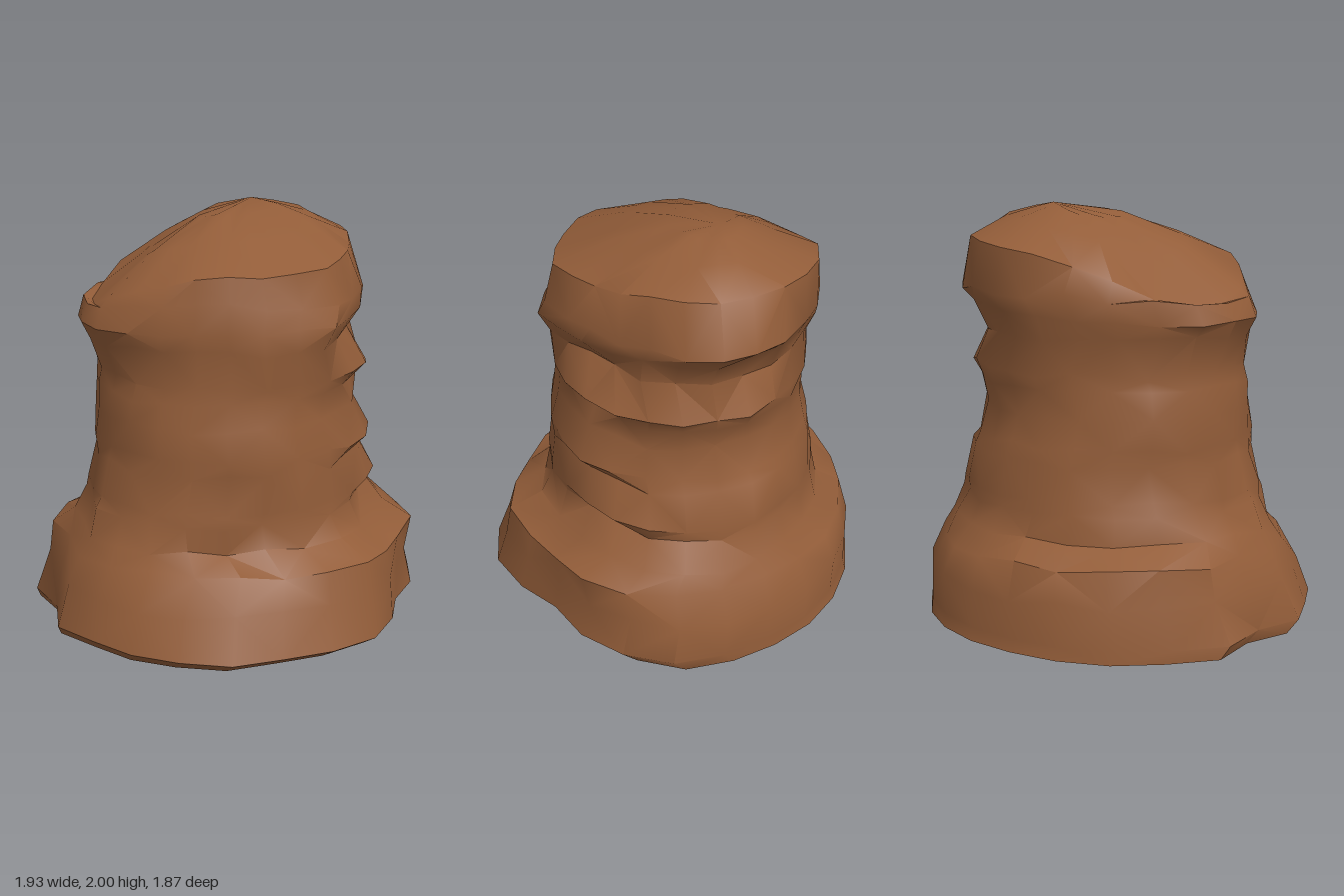
import * as THREE from 'three';
import { toCreasedNormals } from 'three/addons/utils/BufferGeometryUtils.js';

// Uneven outlines of foot and head, relative to an ellipse:
// one value every 15 degrees, from the front towards +x
const FOOT = [1.0, 0.94, 0.88, 0.96, 1.01, 1.04, 1.01, 0.99, 0.99, 0.99, 0.99, 0.99,
  1.01, 1.03, 1.03, 1.06, 0.95, 1.02, 0.97, 0.98, 0.98, 1.0, 0.96, 0.98];
const HEAD = [0.99, 0.92, 0.9, 0.89, 0.92, 0.96, 1.0, 0.99, 1.0, 1.0, 1.03, 1.05,
  1.03, 1.05, 1.07, 1.08, 1.07, 1.04, 0.96, 0.92, 0.9, 0.9, 0.92, 0.95];
const SIDES = FOOT.length;

// Cross-sections: y, xMin, xMax, zMin, zMax, ledge push, tilt along x
const RINGS = [
  [0.00, -0.92, 0.96, -0.93, 0.84, 0, 0],
  [0.06, -0.97, 0.97, -0.92, 0.93, 0, 0],
  [0.25, -0.89, 0.95, -0.90, 0.87, 0, 0],
  [0.40, -0.82, 0.89, -0.86, 0.85, 0, 0],
  [0.48, -0.78, 0.85, -0.72, 0.68, 0, 0],
  [0.60, -0.73, 0.77, -0.70, 0.63, -0.05, 0],
  [0.66, -0.71, 0.78, -0.69, 0.62, 0.05, 0],
  [0.83, -0.65, 0.72, -0.67, 0.60, -0.05, 0],
  [0.90, -0.65, 0.69, -0.66, 0.60, 0.05, 0],
  [1.05, -0.64, 0.65, -0.64, 0.57, 0, 0],
  [1.17, -0.63, 0.69, -0.62, 0.57, -0.05, 0],
  [1.24, -0.62, 0.72, -0.62, 0.58, 0.04, 0],
  [1.41, -0.66, 0.66, -0.63, 0.62, -0.07, 0],
  [1.51, -0.70, 0.72, -0.65, 0.63, 0.06, 0.03],
  [1.61, -0.67, 0.79, -0.65, 0.61, 0.02, 0],
  [1.76, -0.64, 0.70, -0.62, 0.57, 0, 0.13],
  [1.87, -0.36, 0.55, -0.43, 0.30, 0, 0.12],
  [1.95, -0.05, 0.40, -0.27, 0.06, 0, 0.07],
];

// Small seeded generator, giving -1 to 1
function seeded(seed) {
  return () => {
    seed = (seed * 16807) % 2147483647;
    return (seed / 2147483647) * 2 - 1;
  };
}

// Bell-shaped weight around a centre; angles are in degrees
const bell = (d, width) => Math.exp(-((d / width) ** 2));
const near = (deg, centre, width) => bell(((deg - centre + 540) % 360) - 180, width);

// Local swellings and hollows: amount, angle, angle width, height, height width
const BUMPS = [
  [0.05, 325, 12, 0.87, 0.08],  // outcrop beside the ledges
  [-0.11, 315, 28, 0.47, 0.13], // hollow above the foot
  [0.05, 225, 30, 0.38, 0.1],   // full shoulders of the foot
  [0.05, 45, 25, 0.38, 0.08],
  [0.05, 225, 35, 1.1, 0.35],   // stout back of the trunk
  [0.07, 135, 32, 1.78, 0.08],  // square corner of the head
];

function rockGeometry() {
  const rnd = seeded(4217);
  const pos = [];
  const index = [];

  RINGS.forEach(([y, x0, x1, z0, z1, ledge, tilt], i) => {
    const footness = Math.max(0, 1 - y / 0.9);
    const headness = THREE.MathUtils.smoothstep(y, 1.1, 1.55);
    const rough = i < 2 ? 0 : i > 14 ? 0.01 : 0.018;
    for (let j = 0; j < SIDES; j++) {
      const deg = (j * 360) / SIDES;
      const a = THREE.MathUtils.degToRad(deg);
      let r = 1 + (FOOT[j] - 1) * footness + (HEAD[j] - 1) * headness + rnd() * rough;
      // stepped ledges winding up the front
      r += ledge * near(deg, 55 - 22 * y, 25);
      for (const [push, at, wide, h, tall] of BUMPS) r += push * near(deg, at, wide) * bell(y - h, tall);
      const x = (x0 + x1) / 2 + Math.sin(a) * r * (x1 - x0) / 2;
      const z = (z0 + z1) / 2 + Math.cos(a) * r * (z1 - z0) / 2;
      // the head droops at one back corner and rises at the front one
      const lift = (0.06 * near(deg, 310, 25) - 0.15 * near(deg, 225, 30)) * bell(y - 1.76, 0.12);
      pos.push(x, y + tilt * x + lift + rnd() * rough, z);
    }
  });

  // Sides
  for (let i = 0; i < RINGS.length - 1; i++) {
    for (let j = 0; j < SIDES; j++) {
      const k = (j + 1) % SIDES;
      const a = i * SIDES + j, b = i * SIDES + k;
      const c = b + SIDES, d = a + SIDES;
      if ((i + j) % 2) index.push(a, b, c, a, c, d);
      else index.push(a, b, d, b, c, d);
    }
  }

  // Summit and flat underside
  const top = pos.length / 3;
  pos.push(0.29, 2, -0.15, 0, 0, 0);
  const last = (RINGS.length - 1) * SIDES;
  for (let j = 0; j < SIDES; j++) {
    const k = (j + 1) % SIDES;
    index.push(last + j, last + k, top);
    index.push(k, j, top + 1);
  }

  const geo = new THREE.BufferGeometry();
  geo.setAttribute('position', new THREE.Float32BufferAttribute(pos, 3));
  geo.setIndex(index);
  return toCreasedNormals(geo, 0.75);
}

export function createModel() {
  const group = new THREE.Group();
  group.name = 'rockPillar';
  const brown = new THREE.MeshStandardMaterial({ color: 0x935d39 });
  brown.name = 'brownRock';
  const rock = new THREE.Mesh(rockGeometry(), brown);
  rock.name = 'rock';
  group.add(rock);
  return group;
}
